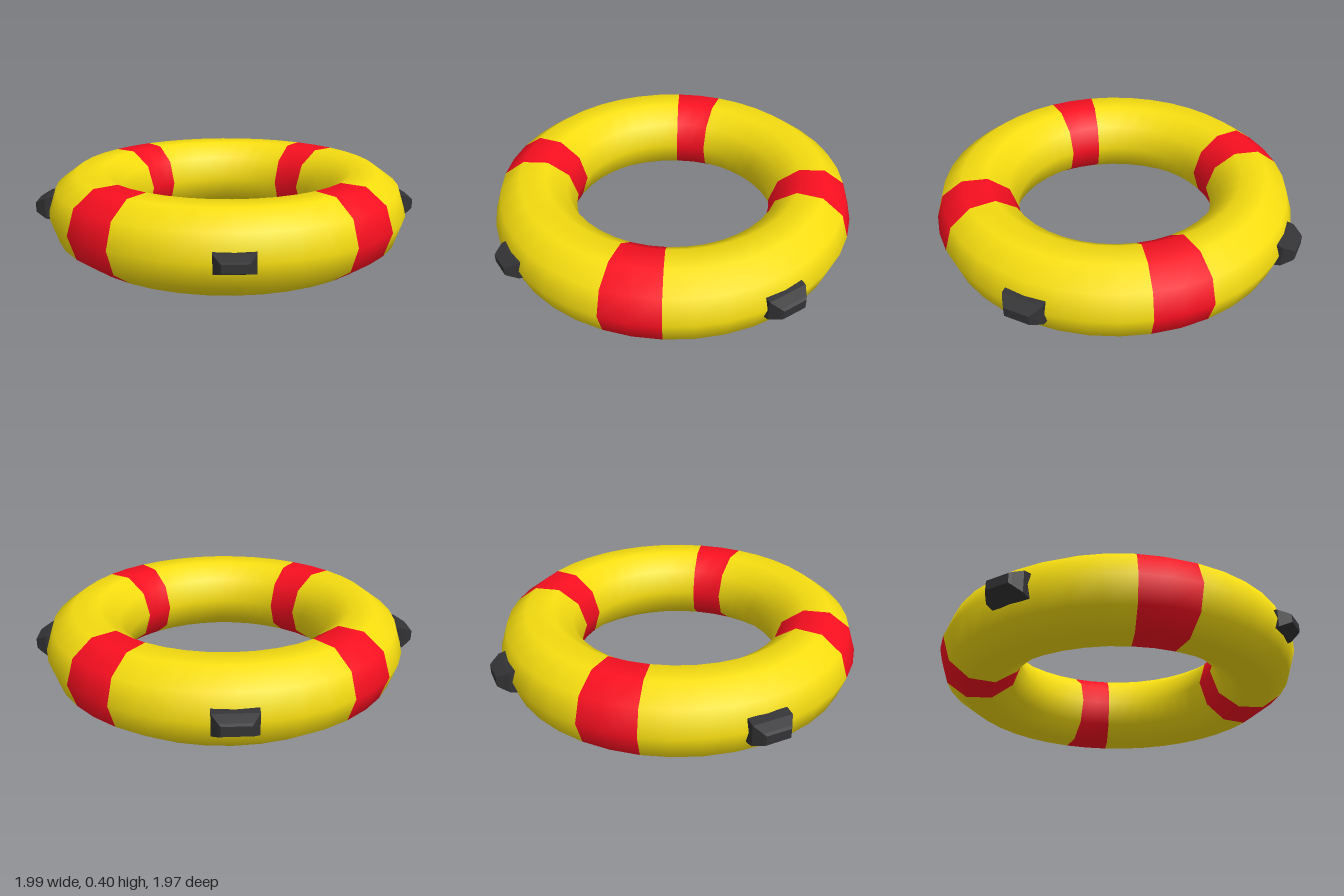
import * as THREE from 'three';

const CX = 0.01, CZ = 0.005, CY = 0.2;
const RING = 0.72, TUBE = 0.21, DEG = Math.PI / 180;

const yellow = new THREE.MeshStandardMaterial({ color: 0xf7de10 });
const red = new THREE.MeshStandardMaterial({ color: 0xfa0f20 });
const dark = new THREE.MeshStandardMaterial({ color: 0x333335 });

// Arc of the ten-sided tube lying flat, from one angle to another (9 degrees per segment)
function ringArc(name, from, to, material) {
  const span = to - from;
  const geo = new THREE.TorusGeometry(RING, TUBE, 10, Math.round(span / 9), span * DEG);
  geo.rotateZ(from * DEG).rotateX(-Math.PI / 2);
  const mesh = new THREE.Mesh(geo, material);
  mesh.name = name;
  return mesh;
}

// Faceted grip block pointing along +z, lofted through rectangles [halfWidth, halfHeight, z]
function gripGeometry(sections) {
  const pos = [], idx = [];
  for (const [w, h, z] of sections) pos.push(-w, -h, z, w, -h, z, w, h, z, -w, h, z);
  const quad = (a, b, c, d) => idx.push(a, b, c, a, c, d);
  const last = (sections.length - 1) * 4;
  for (let s = 0; s < last; s += 4) {
    for (let i = 0; i < 4; i++) {
      const j = (i + 1) % 4;
      quad(s + i, s + j, s + 4 + j, s + 4 + i);
    }
  }
  quad(3, 2, 1, 0);
  quad(last, last + 1, last + 2, last + 3);
  const geo = new THREE.BufferGeometry();
  geo.setAttribute('position', new THREE.Float32BufferAttribute(pos, 3));
  geo.setIndex(idx);
  const flat = geo.toNonIndexed();
  flat.computeVertexNormals();
  return flat;
}

export function createModel() {
  const model = new THREE.Group();
  model.name = 'lifeRing';
  const ring = new THREE.Group();
  ring.name = 'ring';
  ring.position.set(CX, CY, CZ);
  model.add(ring);

  // Four yellow tube quarters alternating with four red bands
  for (let q = 0; q < 4; q++) {
    ring.add(ringArc('tubeSection', q * 90 - 36, q * 90 + 36, yellow));
    ring.add(ringArc('redBand', q * 90 + 36, q * 90 + 54, red));
  }

  // Four grips around the rim: [name, turn, reach from ring centre, half width, half height]
  const grips = [
    ['frontGrip', 0, 0.98, 0.092, 0.053],
    ['leftGrip', 90, 0.985, 0.103, 0.063],
    ['backGrip', 180, 0.99, 0.104, 0.063],
    ['rightGrip', 270, 1.005, 0.1, 0.063],
  ];
  for (const [name, turn, reach, w, h] of grips) {
    const geo = gripGeometry([
      [w, h, reach - 0.1],
      [w, h * 0.85, reach - 0.055],
      [w * 0.72, h * 0.5, reach - 0.012],
      [w * 0.62, h * 0.38, reach],
    ]);
    const grip = new THREE.Mesh(geo, dark);
    grip.name = name;
    grip.rotation.y = turn * DEG;
    ring.add(grip);
  }
  return model;
}
